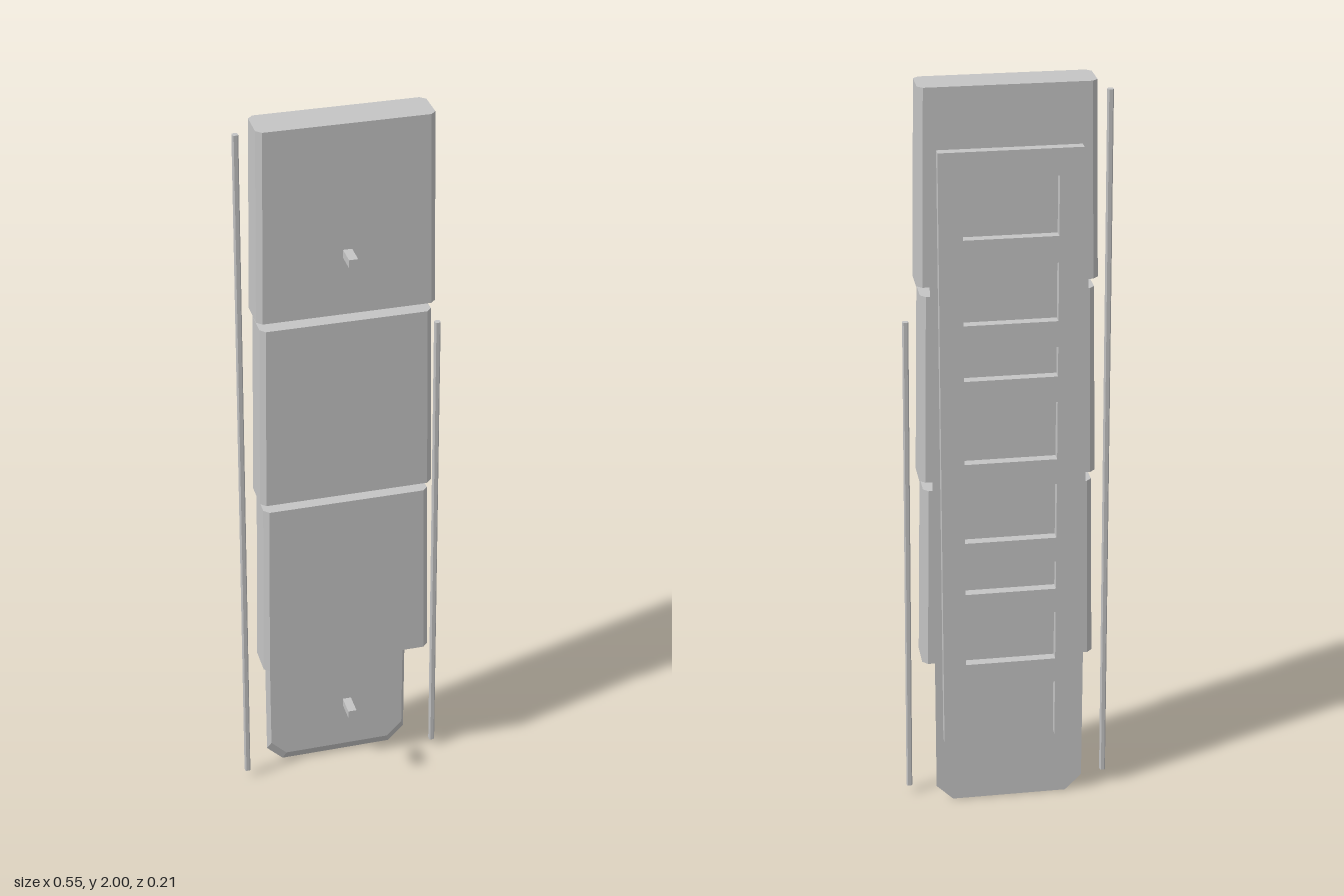
import * as THREE from 'three';

const grey = new THREE.MeshStandardMaterial({ color: 0xc4c4c4 });
grey.name = 'grey';

// Rectangle outline with cut corners, centred on the origin
function cutRect(halfW, halfH, cut) {
  const s = new THREE.Shape();
  s.moveTo(-halfW + cut, -halfH);
  s.lineTo(halfW - cut, -halfH);
  s.lineTo(halfW, -halfH + cut);
  s.lineTo(halfW, halfH - cut);
  s.lineTo(halfW - cut, halfH);
  s.lineTo(-halfW + cut, halfH);
  s.lineTo(-halfW, halfH - cut);
  s.lineTo(-halfW, -halfH + cut);
  s.closePath();
  return s;
}

// Move each vertex by a rule, then refresh the flat normals
function reshape(geo, rule) {
  const p = geo.attributes.position;
  const v = new THREE.Vector3();
  for (let i = 0; i < p.count; i++) {
    rule(v.fromBufferAttribute(p, i));
    p.setXYZ(i, v.x, v.y, v.z);
  }
  geo.computeVertexNormals();
  return geo;
}

// Upright prism standing on y = 0
function prism(halfW, halfD, cut, height) {
  const geo = new THREE.ExtrudeGeometry(cutRect(halfW, halfD, cut), { depth: height, bevelEnabled: false });
  return geo.rotateX(-Math.PI / 2);
}

export function createModel() {
  const model = new THREE.Group();
  model.name = 'panelStack';

  function add(name, geo, x, y, z) {
    const mesh = new THREE.Mesh(geo, grey);
    mesh.name = name;
    mesh.position.set(x, y, z);
    model.add(mesh);
  }
  const box = (name, w, h, d, x, y, z) => add(name, new THREE.BoxGeometry(w, h, d), x, y, z);

  // Three thick panels, each slightly narrower at the top
  for (const [bottom, top] of [[0.42, 0.93], [0.955, 1.465], [1.49, 2.0]]) {
    const h = top - bottom;
    const geo = reshape(prism(0.23, 0.053, 0.014, h), (v) => {
      const t = v.y / h;
      v.x *= 1 - 0.04 * t;
      if (v.z > 0) v.z -= 0.004 * t;
    });
    add('panel', geo, 0, bottom, -0.004);
  }

  // Back plate with cut corners and a bevel towards the front
  const depth = 0.015;
  const plate = new THREE.ExtrudeGeometry(cutRect(0.2, 0.98, 0.045), { depth, bevelEnabled: false });
  reshape(plate, (v) => {
    if (v.z > depth / 2) {
      v.x *= 0.95;
      v.y *= 0.97;
    }
  });
  add('backPlate', plate, 0, 0.985, -0.079);

  // Small posts holding the panels to the plate
  for (const y of [0.67, 1.21, 1.657]) box('post', 0.02, 0.02, 0.012, 0, y, -0.06);

  // Raised ladder frame on the back: crossbars between two side rails
  for (const y of [1.815, 1.59, 1.365, 1.215, 0.985, 0.76, 0.61, 0.4]) {
    box('crossbar', 0.24, 0.07, 0.026, 0, y, -0.092);
  }
  for (const side of [-1, 1]) box('sideRail', 0.06, 1.65, 0.026, side * 0.15, 1.025, -0.092);

  // Slender side rods leaning in towards the top
  for (const [side, top, lean] of [[-1, 1.97, 0.012], [1, 1.39, 0.012]]) {
    const h = top - 0.03;
    const geo = reshape(prism(0.0075, 0.0075, 0.003, h), (v) => {
      v.x -= side * lean * (v.y / h);
    });
    add('sideRod', geo, side * 0.269, 0.03, -0.027);
  }

  // Short pins at the front
  for (const y of [0.272, 1.657]) box('pin', 0.023, 0.022, 0.058, 0, y, 0.075);

  return model;
}
